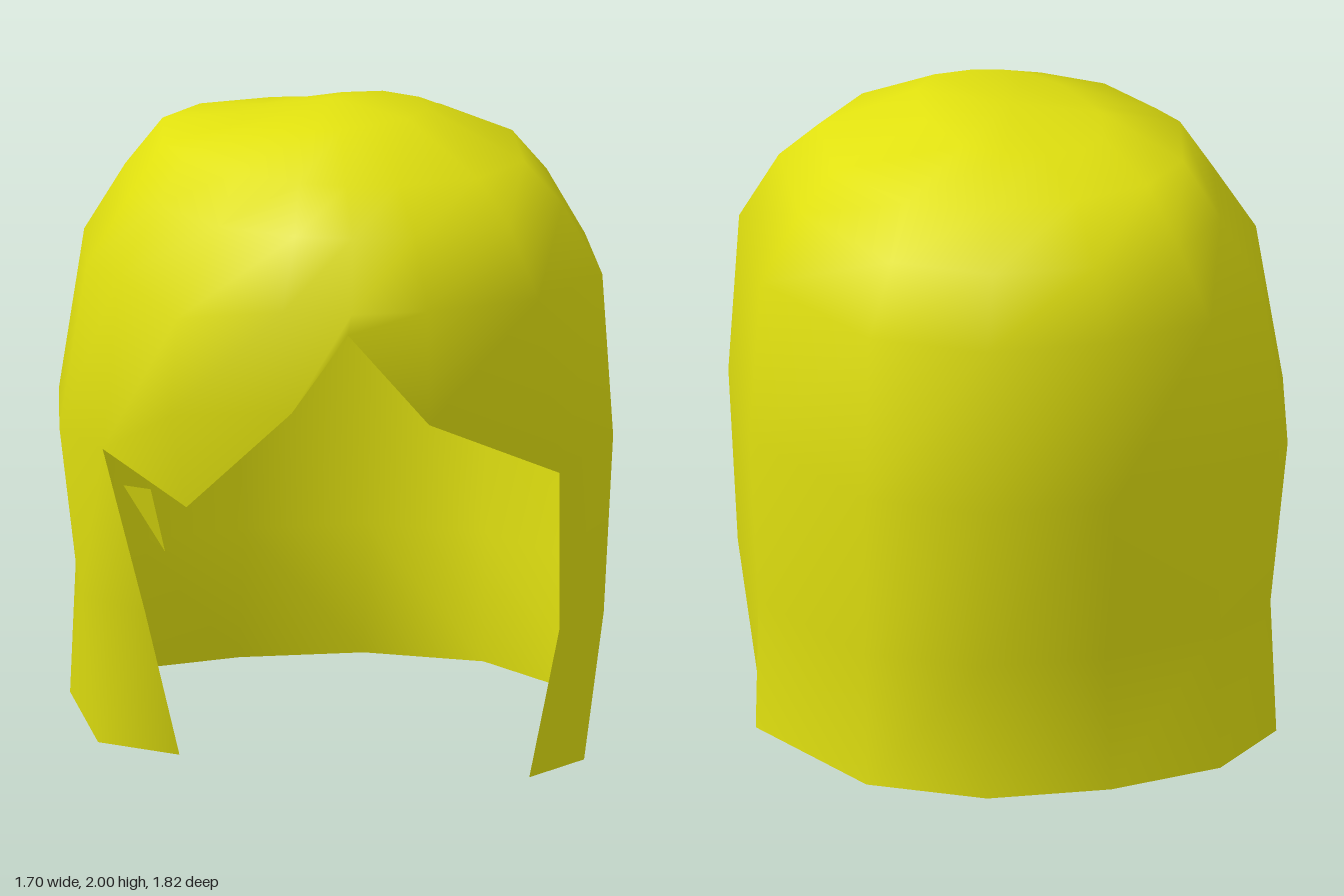
import * as THREE from 'three';

// Plan outline of the hair at its widest, [x, z], from the back round by +x
const PLAN = [
  [0, -0.91], [0.39, -0.85], [0.7, -0.6], [0.85, 0], [0.705, 0.575], [0.39, 0.86], [0, 0.91],
  [-0.26, 0.88], [-0.47, 0.78], [-0.7, 0.53], [-0.81, 0.13], [-0.85, -0.07], [-0.67, -0.6], [-0.39, -0.85],
];
const N = PLAN.length;

// Rings from crown to hem: height, then scales towards +x, -x, +z and -z
const RINGS = [
  { y: 1.96, left: 0.33, right: 0.33, front: 0.38, back: 0.33, tilt: 0.025 },
  { y: 1.87, left: 0.68, right: 0.62, front: 0.69, back: 0.62, tilt: -0.015 },
  { y: 1.73, left: 0.81, right: 0.74, front: 0.86, back: 0.81, tilt: 0 },
  { y: 1.52, left: 0.955, right: 0.9, front: 0.985, back: 0.93, tilt: 0 },
  { y: 1.02, left: 1, right: 1, front: 1, back: 1, tilt: 0 },
  { y: 0.49, left: 0.965, right: 0.95, front: 1, back: 0.9, tilt: 0 },
  { y: 0.08, left: 0.975, right: 0.96, front: 1, back: 0.955, tilt: 0 },
];

// Points that leave the ring rule: temple, fringe, face opening and side locks
const FRINGE = {
  5: [0.48, 0.95, 0.73], 6: [0, 1.17, 0.91], 7: [-0.25, 1.46, 0.88],
  8: [-0.4, 1.21, 0.79], 9: [-0.7, 1.17, 0.53], 10: [-0.78, 0.99, 0.13],
};
const SPECIAL = {
  3: { 9: [-0.68, 1.47, 0.53] },
  4: FRINGE,
  5: { ...FRINGE, 4: [0.68, 0.47, 0.56], 5: [0.5, 0.45, 0.67], 10: [-0.64, 0.47, 0.12], 11: [-0.79, 0.5, -0.04] },
  6: { ...FRINGE, 4: [0.61, 0.02, 0.58], 5: [0.4, 0, 0.68], 10: [-0.53, 0.02, 0.12], 11: [-0.75, 0.05, 0] },
};

function ringPoint(r, i) {
  if (SPECIAL[r]?.[i]) return SPECIAL[r][i];
  const { y, left, right, front, back, tilt } = RINGS[r];
  const [x, z] = PLAN[i];
  return [x * (x > 0 ? left : right), y + tilt * (x + z), z * (z > 0 ? front : back)];
}

function hairGeometry() {
  const points = [];
  const index = [];
  RINGS.forEach((_, r) => PLAN.forEach((_, i) => points.push(...ringPoint(r, i))));
  const at = (r, i) => r * N + (i % N);
  const add = (p) => points.push(...p) / 3 - 1;

  // Crown
  const apex = add([0, 2, 0]);
  for (let i = 0; i < N; i++) index.push(apex, at(0, i + 1), at(0, i));

  // Walls, left open in front below the fringe
  for (let r = 0; r < RINGS.length - 1; r++) {
    for (let i = 0; i < N; i++) {
      if (r >= 4 && i >= 5 && i <= 9) continue;
      const a = at(r, i), b = at(r, i + 1), c = at(r + 1, i), d = at(r + 1, i + 1);
      index.push(a, b, d, a, d, c);
    }
  }

  // Hanging tip of the fringe
  const tip = add([-0.645, 0.88, 0.52]);
  index.push(at(4, 8), at(4, 9), tip, at(4, 9), at(4, 10), tip);

  // Small stray wisp behind the tip
  const root = add([-0.71, 0.87, 0.12]);
  const end = add([-0.6, 0.67, 0.19]);
  const inner = add([-0.65, 0.87, 0.2]);
  index.push(root, end, inner);

  const geometry = new THREE.BufferGeometry();
  geometry.setAttribute('position', new THREE.Float32BufferAttribute(points, 3));
  geometry.setIndex(index);
  geometry.computeVertexNormals();
  return geometry;
}

export function createModel() {
  const yellow = new THREE.MeshStandardMaterial({ color: 0xe0e00f, side: THREE.DoubleSide });
  yellow.name = 'hair yellow';
  const hair = new THREE.Mesh(hairGeometry(), yellow);
  hair.name = 'hair';
  const model = new THREE.Group();
  model.name = 'hairpiece';
  model.add(hair);
  return model;
}
